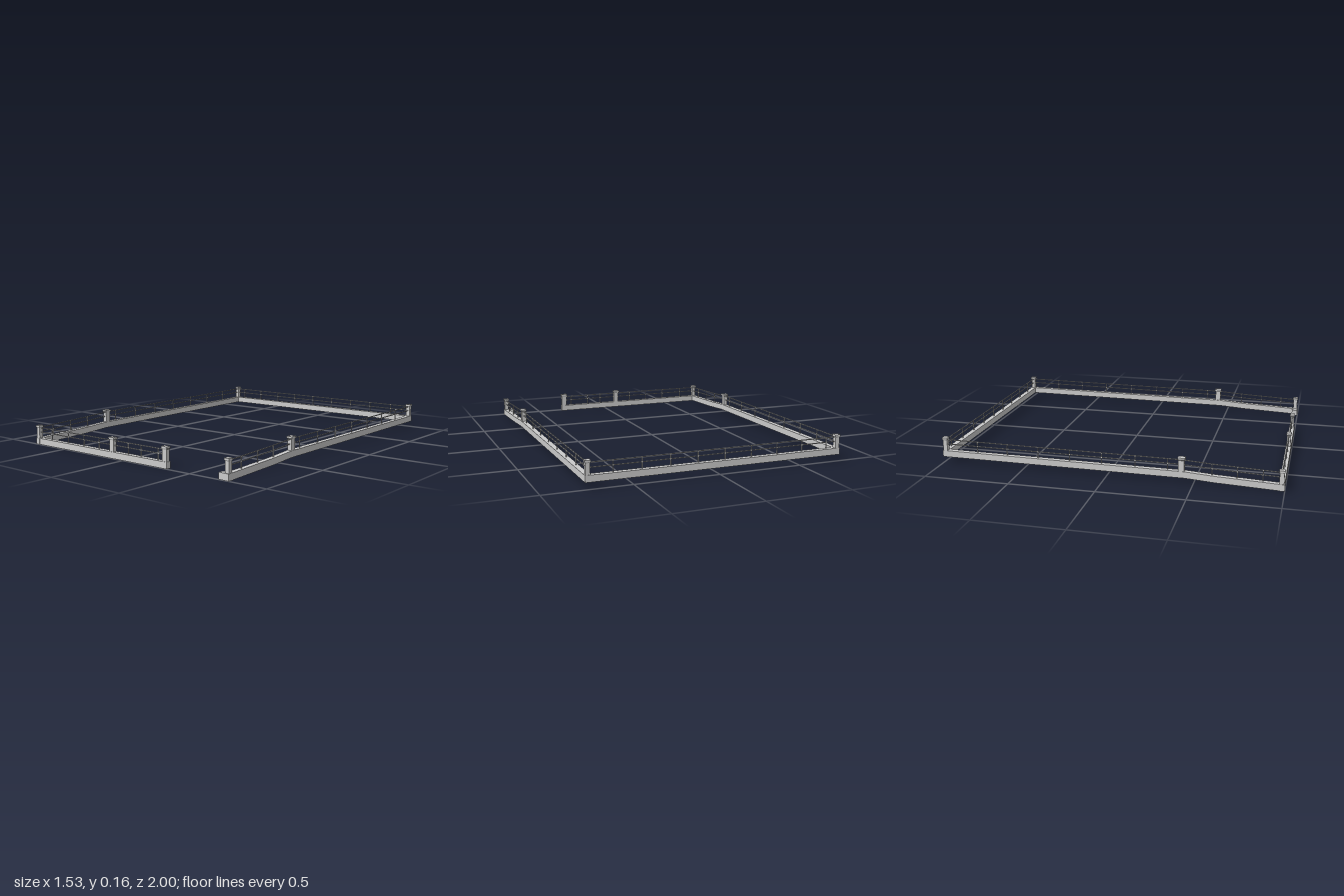
import * as THREE from 'three';

const mat = new THREE.MeshStandardMaterial({ color: 0xcccccc, flatShading: true });
const X = 0.748, ZF = 0.982, ZB = -0.984, W = 0.032, H = 0.038;

// Ground height along the sloping side walls: [z, y]
const slope = [[1, 0], [0.62, 0.016], [0.45, 0.028], [-1, 0.038]];
function ground(z) {
  for (let i = 0; i < slope.length - 1; i++) {
    const [z0, y0] = slope[i], [z1, y1] = slope[i + 1];
    if (z >= z1) return y0 + (y1 - y0) * (z - z0) / (z1 - z0);
  }
  return slope[slope.length - 1][1];
}

function box(parent, name, w, h, d, x, y, z) {
  const m = new THREE.Mesh(new THREE.BoxGeometry(w, h, d), mat);
  m.name = name;
  m.position.set(x, y + h / 2, z);
  parent.add(m);
}

// Thin square bar between two points
function bar(parent, name, a, b, t = 0.005) {
  const m = new THREE.Mesh(new THREE.BoxGeometry(t, t, a.distanceTo(b)), mat);
  m.name = name;
  m.position.copy(a).lerp(b, 0.5);
  m.lookAt(b);
  parent.add(m);
}

// Post with a flared cap; w and d are the cap sizes
function post(parent, x, z, base, w, d, height = 0.079) {
  const g = new THREE.Group();
  g.name = 'post';
  g.position.set(x, base, z);
  box(g, 'postShaft', w * 0.78, height - 0.016, d * 0.78, 0, 0, 0);
  const flare = new THREE.CylinderGeometry(Math.SQRT1_2, Math.SQRT1_2 * 0.78, 0.006, 4);
  flare.rotateY(Math.PI / 4);
  flare.scale(w, 1, d);
  const f = new THREE.Mesh(flare, mat);
  f.name = 'postFlare';
  f.position.y = height - 0.013;
  g.add(f);
  box(g, 'postCap', w, 0.01, d, 0, height - 0.01, 0);
  parent.add(g);
}

// Two rails through the given wall-top points, with balusters
function railing(parent, pts, balusters) {
  const g = new THREE.Group();
  g.name = 'railing';
  const lift = (p, h) => p.clone().setY(p.y + h);
  for (const h of [0.037, 0.064])
    for (let i = 0; i < pts.length - 1; i++)
      bar(g, 'rail', lift(pts[i], h), lift(pts[i + 1], h));
  for (const p of balusters) box(g, 'baluster', 0.005, 0.064, 0.005, p.x, p.y, p.z);
  parent.add(g);
}

export function createModel() {
  const root = new THREE.Group();
  root.name = 'perimeterWall';
  const V = (x, y, z) => new THREE.Vector3(x, y, z);

  // Side walls follow the slope; each has a mid post and corner posts
  const profile = new THREE.Shape([
    ...slope.map(([z, y]) => new THREE.Vector2(-z, y)),
    ...slope.slice().reverse().map(([z, y]) => new THREE.Vector2(-z, y + H)),
  ]);
  for (const s of [-1, 1]) {
    const side = new THREE.Group();
    side.name = s < 0 ? 'rightSide' : 'leftSide';
    const geo = new THREE.ExtrudeGeometry(profile, { depth: W, bevelEnabled: false });
    geo.translate(0, 0, -W / 2);
    geo.rotateY(Math.PI / 2);
    const wall = new THREE.Mesh(geo, mat);
    wall.name = 'sideWall';
    wall.position.x = s * X;
    side.add(wall);
    const top = z => V(s * X, ground(z) + H, z);
    railing(side, [ZF, 0.62, 0.43, ZB].map(top),
      [0.88, 0.74, 0.6, 0.35, 0.165, -0.03, -0.22, -0.41, -0.6, -0.785].map(top));
    post(side, s * X, ZF, H, 0.033, 0.033);
    post(side, s * X, 0.43, ground(0.43) + H, 0.035, 0.043);
    post(side, s * X, ZB, 0.038 + H, 0.033, 0.033);
    root.add(side);
  }

  // Back wall
  const back = new THREE.Group();
  back.name = 'backSide';
  box(back, 'backWall', 2 * X + W, H, W, 0, 0.038, ZB);
  const backBalusters = [];
  for (let i = 0; i < 9; i++) backBalusters.push(V(-0.68 + i * 0.161, 0.076, ZB));
  railing(back, [V(-X, 0.076, ZB), V(X, 0.076, ZB)], backBalusters);
  root.add(back);

  // Front wall, ending at the gateway
  const front = new THREE.Group();
  front.name = 'frontSide';
  const x0 = -X - W / 2, x1 = 0.335;
  box(front, 'frontWall', x1 - x0, H, W, (x0 + x1) / 2, 0, ZF);
  railing(front, [V(-X, H, ZF), V(0.315, H, ZF)],
    [-0.63, -0.48, -0.34, -0.21, 0.03, 0.13, 0.26].map(x => V(x, H, ZF)));
  for (const x of [-0.095, 0.315]) post(front, x, ZF, H, 0.042, 0.03, 0.083);
  // Short return on the other side of the gateway
  box(front, 'gateReturn', 0.068, H, 0.036, 0.73, 0, 0.98);
  root.add(front);

  return root;
}
